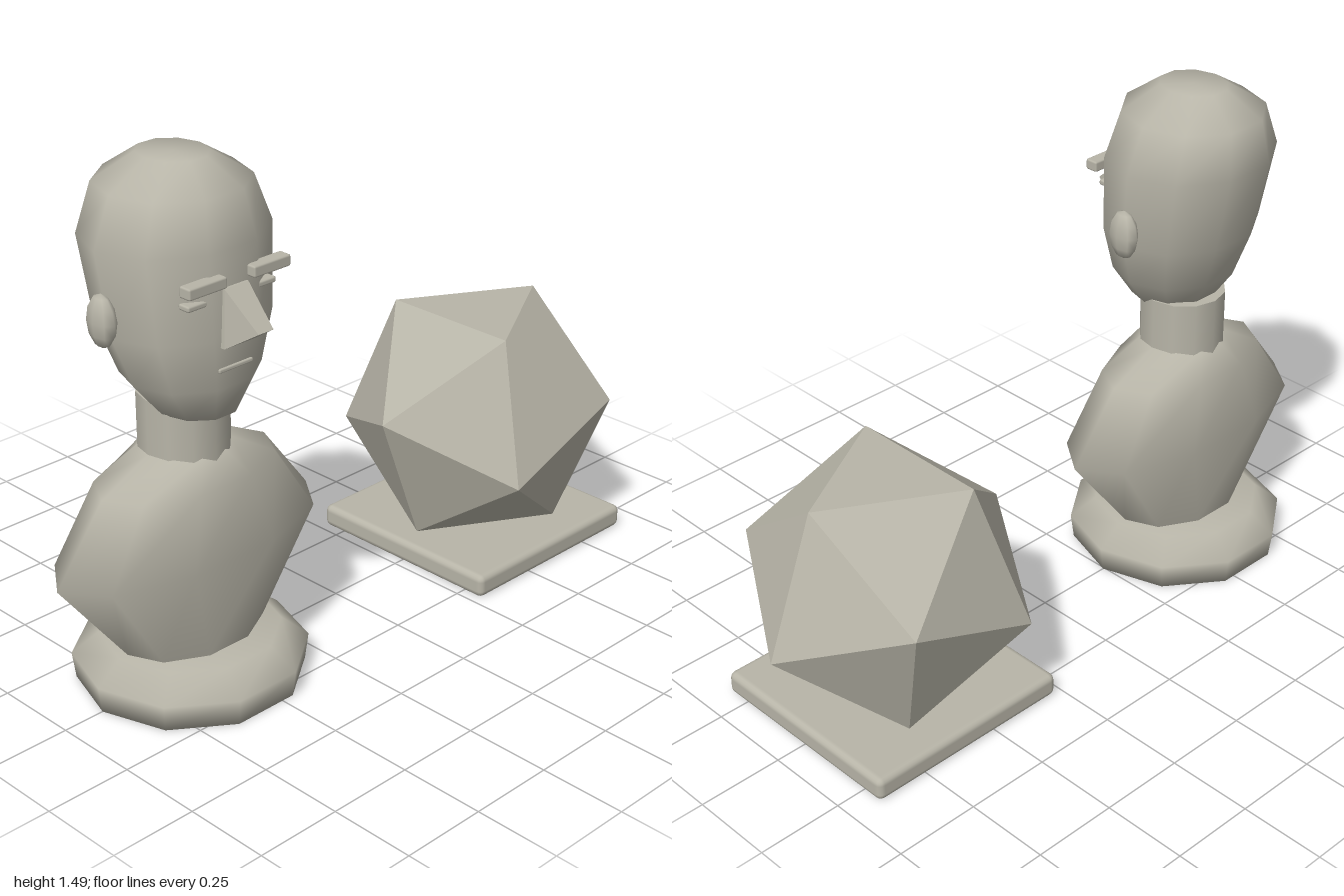
import * as THREE from 'three';
import { RoundedBoxGeometry } from 'three/addons/geometries/RoundedBoxGeometry.js';
import { ConvexGeometry } from 'three/addons/geometries/ConvexGeometry.js';

const stone = new THREE.MeshStandardMaterial({ color: 0xb8b5a8 });
stone.name = 'stone';

// Smooth closed skin over elliptical rings [y, radiusX, radiusZ, centreZ], bottom to top
function loft(rings, sides) {
  const pos = [], index = [];
  for (const [y, rx, rz, cz = 0] of rings) {
    for (let i = 0; i < sides; i++) {
      const a = (i / sides) * Math.PI * 2;
      pos.push(rx * Math.cos(a), y, cz + rz * Math.sin(a));
    }
  }
  const last = rings.length - 1;
  const bottom = pos.length / 3, top = bottom + 1;
  pos.push(0, rings[0][0], rings[0][3] ?? 0, 0, rings[last][0], rings[last][3] ?? 0);
  for (let i = 0; i < sides; i++) {
    const n = (i + 1) % sides;
    for (let j = 0; j < last; j++) {
      const a = j * sides + i, b = j * sides + n;
      index.push(a, a + sides, b, b, a + sides, b + sides);
    }
    index.push(bottom, i, n, top, last * sides + n, last * sides + i);
  }
  const geo = new THREE.BufferGeometry();
  geo.setAttribute('position', new THREE.Float32BufferAttribute(pos, 3));
  geo.setIndex(index);
  geo.computeVertexNormals();
  return geo;
}

function add(parent, name, geometry, x = 0, y = 0, z = 0) {
  const mesh = new THREE.Mesh(geometry, stone);
  mesh.name = name;
  mesh.position.set(x, y, z);
  parent.add(mesh);
  return mesh;
}

function createBust() {
  const bust = new THREE.Group();
  bust.name = 'bust';

  add(bust, 'bustBase', loft([
    [0, 0.315, 0.315], [0.075, 0.325, 0.325], [0.135, 0.25, 0.25],
  ], 10));

  add(bust, 'torso', loft([
    [0.12, 0.21, 0.16], [0.135, 0.222, 0.165], [0.415, 0.44, 0.2],
    [0.62, 0.283, 0.17], [0.695, 0.125, 0.12],
  ], 10));

  add(bust, 'neck', new THREE.CylinderGeometry(0.125, 0.125, 0.2, 12), 0, 0.75, 0);

  // Head leans forward at the chin and back at the crown
  add(bust, 'head', loft([
    [0.82, 0.11, 0.123, 0.047], [0.92, 0.19, 0.176, 0.033],
    [1.06, 0.24, 0.208, 0.015], [1.29, 0.26, 0.229, -0.012],
    [1.42, 0.205, 0.205, -0.015], [1.49, 0.09, 0.103, -0.012],
  ], 10));

  // Wedge nose: four corners on the face, two at the tip
  const nose = [];
  for (const s of [-1, 1]) {
    nose.push(
      new THREE.Vector3(s * 0.04, 1.195, 0.2), new THREE.Vector3(s * 0.04, 1.195, 0.215),
      new THREE.Vector3(s * 0.053, 1.04, 0.2), new THREE.Vector3(s * 0.053, 1.04, 0.225),
      new THREE.Vector3(s * 0.025, 1.10, 0.32),
    );
  }
  add(bust, 'nose', new ConvexGeometry(nose));

  for (const [side, s] of [['left', 1], ['right', -1]]) {
    add(bust, side + 'Brow', new RoundedBoxGeometry(0.125, 0.032, 0.04, 1, 0.006), s * 0.107, 1.219, 0.214);
    add(bust, side + 'Eye', new RoundedBoxGeometry(0.075, 0.017, 0.04, 1, 0.006), s * 0.11, 1.165, 0.183);
    const ear = add(bust, side + 'Ear', new THREE.SphereGeometry(1, 8, 6), s * 0.255, 1.11, 0);
    ear.scale.set(0.03, 0.073, 0.05);
  }
  add(bust, 'mouth', new RoundedBoxGeometry(0.115, 0.013, 0.03, 1, 0.005), 0, 0.975, 0.196);
  return bust;
}

function createSolid() {
  const solid = new THREE.Group();
  solid.name = 'solidOnPlinth';
  add(solid, 'plinth', new RoundedBoxGeometry(0.645, 0.07, 0.645, 2, 0.02), 0, 0.035, 0);

  // Twenty-sided solid resting on one face
  const gem = add(solid, 'icosahedron', new THREE.IcosahedronGeometry(0.411, 0), 0, 0.4, 0);
  gem.rotation.z = THREE.MathUtils.degToRad(-69.1);
  return solid;
}

export function createModel() {
  const model = new THREE.Group();
  model.name = 'bustAndSolid';
  const bust = createBust();
  bust.position.x = -0.56;
  const solid = createSolid();
  solid.position.x = 0.594;
  model.add(bust, solid);
  return model;
}
